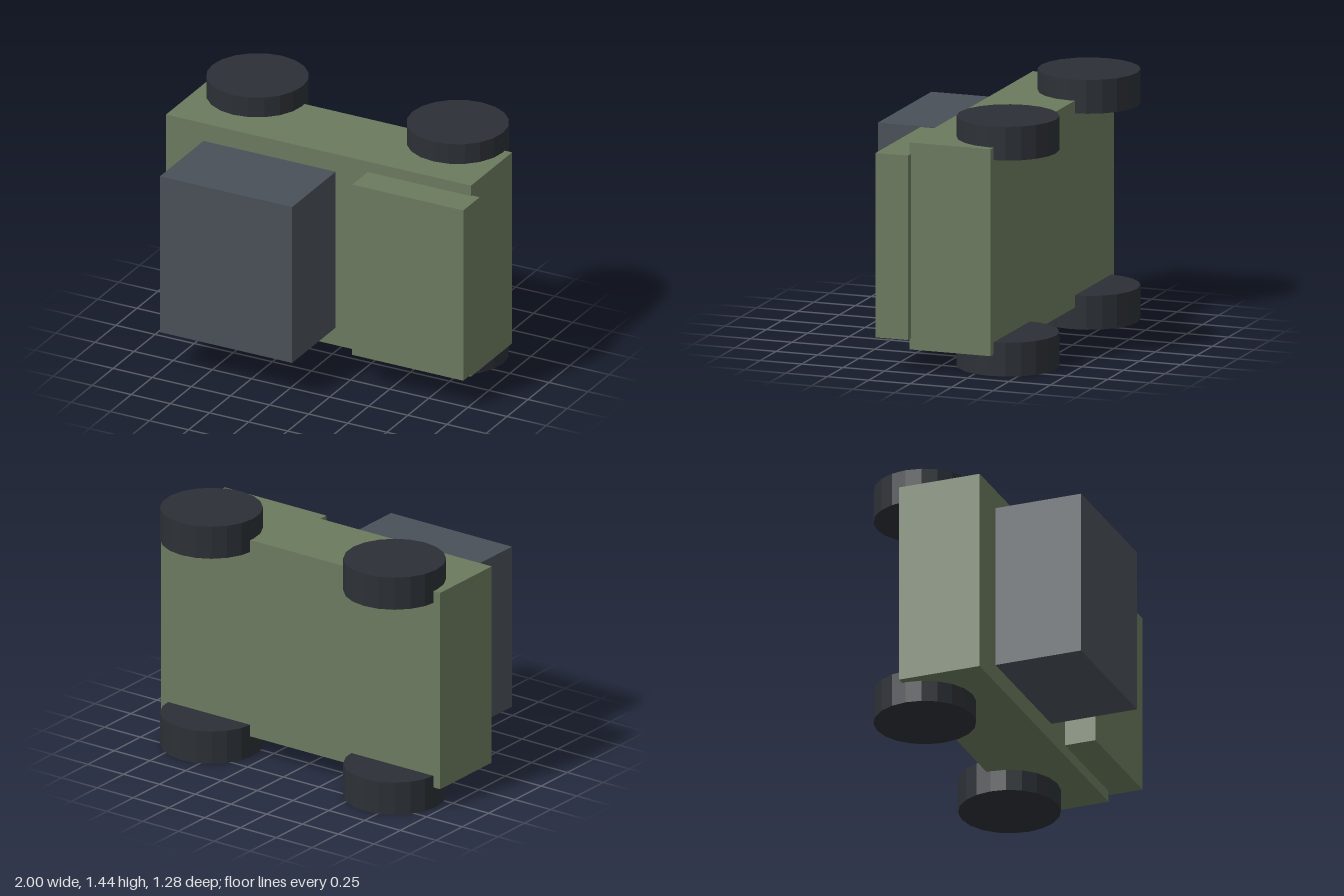
import * as THREE from 'three';

const paint = (color) => new THREE.MeshStandardMaterial({ color, flatShading: true });

// Box given by its extents on each axis
function block(name, material, [x0, x1], [y0, y1], [z0, z1]) {
  const mesh = new THREE.Mesh(new THREE.BoxGeometry(x1 - x0, y1 - y0, z1 - z0), material);
  mesh.position.set((x0 + x1) / 2, (y0 + y1) / 2, (z0 + z1) / 2);
  mesh.name = name;
  return mesh;
}

export function createModel() {
  const model = new THREE.Group();
  model.name = 'vehicle';
  const bodyPaint = paint(0x6b7a5e);
  const cabinPaint = paint(0x4a5058);
  const rubber = paint(0x2c3036);

  // Hull, raised hood and cabin
  model.add(
    block('body', bodyPaint, [-1, 0.95], [0.125, 1.32], [-0.37, 0.12]),
    block('hood', bodyPaint, [0.29, 1], [0.19, 1.255], [0.11, 0.305]),
    block('cabin', cabinPaint, [-0.76, 0.085], [0.235, 1.21], [0.11, 0.64])
  );

  // Four wheels, axles along y, partly sunk into the body
  const wheelShape = new THREE.CylinderGeometry(0.29, 0.29, 0.195, 20);
  for (const [end, x] of [['rear', -0.665], ['front', 0.615]]) {
    for (const [side, y] of [['Lower', 0.0975], ['Upper', 1.345]]) {
      const wheel = new THREE.Mesh(wheelShape, rubber);
      wheel.position.set(x, y, -0.347);
      wheel.name = `${end}${side}Wheel`;
      model.add(wheel);
    }
  }
  return model;
}
